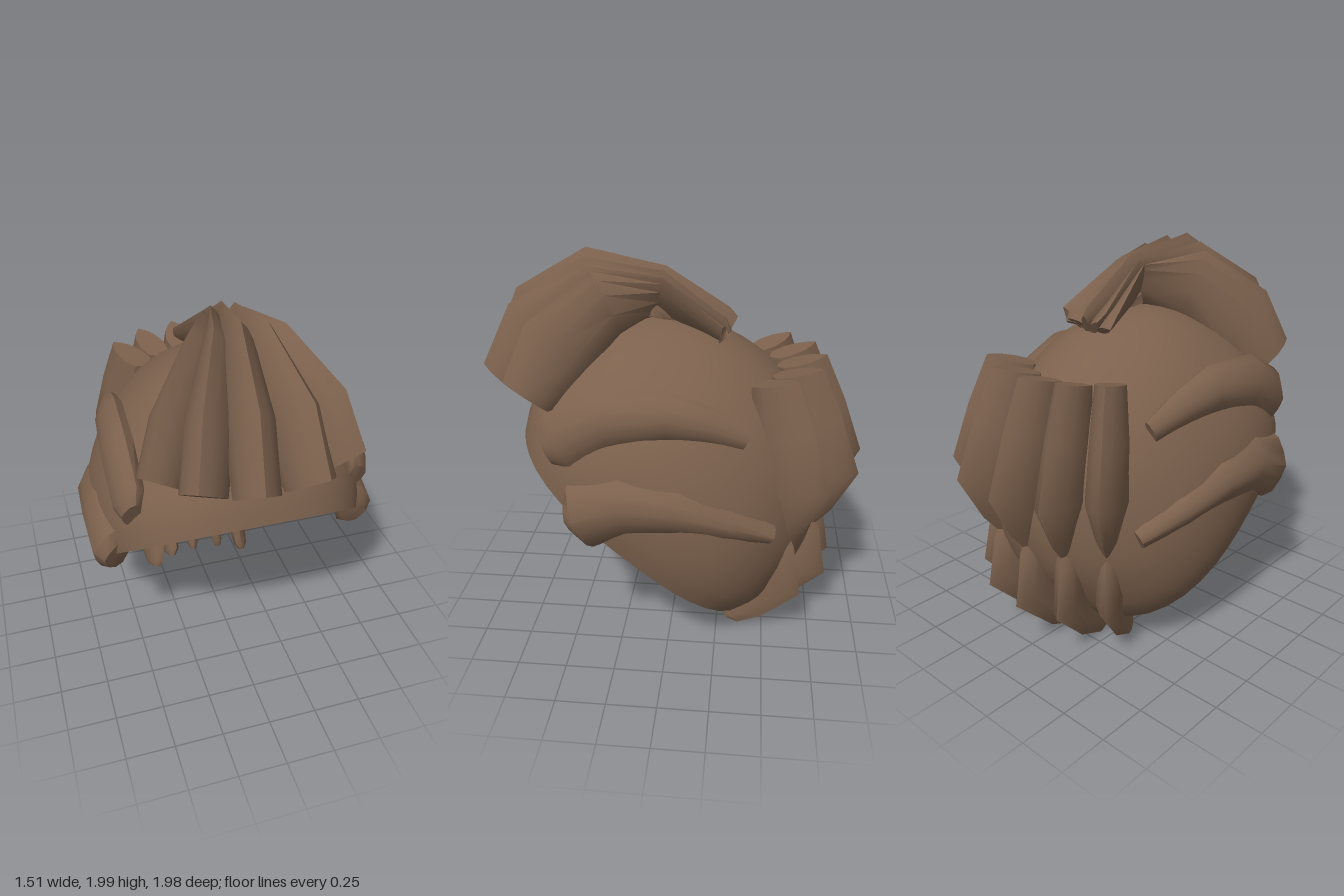
import * as THREE from 'three';
import { toCreasedNormals } from 'three/addons/utils/BufferGeometryUtils.js';

const hair = new THREE.MeshStandardMaterial({ color: 0x7c614d, side: THREE.DoubleSide });
hair.name = 'brown hair';

// Lock section (side, outward): a ridge on the outside, rounded inside
const SECTION = [[1, -0.15], [0.8, 0.4], [0.4, 0.78], [0, 1], [-0.4, 0.78], [-0.8, 0.4],
  [-1, -0.15], [-0.82, -0.7], [0, -1], [0.82, -0.7]];

// Sweeps the section along rows of { p: centre, w: half width, d: half depth }
function lock(name, rows, out) {
  const n = SECTION.length, pos = [], idx = [];
  rows.forEach(({ p, w, d }, i) => {
    const t = rows[Math.min(i + 1, rows.length - 1)].p.clone().sub(rows[Math.max(i - 1, 0)].p).normalize();
    const side = out.clone().cross(t).normalize();
    const up = t.clone().cross(side);
    SECTION.forEach(([a, b]) => {
      const v = p.clone().addScaledVector(side, a * w).addScaledVector(up, b * d);
      pos.push(v.x, v.y, v.z);
    });
    if (i === 0) return;
    for (let j = 0; j < n; j++) {
      const a = (i - 1) * n + j, b = (i - 1) * n + (j + 1) % n;
      idx.push(a, b, b + n, a, b + n, a + n);
    }
  });
  // end faces
  const last = (rows.length - 1) * n;
  for (let j = 1; j < n - 1; j++) idx.push(0, j + 1, j, last, last + j, last + j + 1);
  const g = new THREE.BufferGeometry();
  g.setAttribute('position', new THREE.Float32BufferAttribute(pos, 3));
  g.setIndex(idx);
  const mesh = new THREE.Mesh(toCreasedNormals(g, 0.8), hair);
  mesh.name = name;
  return mesh;
}

const V = (x, y, z) => new THREE.Vector3(x, y, z);

// Hollow tilted dome: inside from the pole to the rim, then outside back up
function scalpCap() {
  const pts = [], steps = 20, rim = -0.447;
  for (let i = 0; i <= steps; i++) {
    const a = Math.PI / 2 + (rim - Math.PI / 2) * i / steps;
    pts.push(new THREE.Vector2(Math.max(0, 0.81 * Math.cos(a)), 0.715 * Math.sin(a) - 0.01));
  }
  for (let i = 0; i <= steps; i++) {
    const a = rim + (Math.PI / 2 - rim) * i / steps;
    pts.push(new THREE.Vector2(Math.max(0, 0.84 * Math.cos(a)), 0.74 * Math.sin(a)));
  }
  const g = new THREE.LatheGeometry(pts, 48);
  // Squarer and wider towards the rim, longer at the nape, narrower at the crown
  const pos = g.attributes.position;
  for (let i = 0; i < pos.count; i++) {
    const x = pos.getX(i), v = pos.getY(i), z = pos.getZ(i), r = Math.hypot(x, z) || 1;
    const power = 2 + 0.6 * THREE.MathUtils.clamp((0.3 - v) / 0.6, 0, 1);
    const square = (Math.abs(x / r) ** power + Math.abs(z / r) ** power || 1) ** (-1 / power);
    const nape = z < 0 && v < 0 ? 1 - 0.25 * v : 1;
    pos.setXYZ(i, x * 0.835 * square * (1 - 0.18 * v), v, z * square * nape);
  }
  g.rotateX(-0.707);
  g.translate(0, 0.88, -0.005);
  const mesh = new THREE.Mesh(toCreasedNormals(g, 0.8), hair);
  mesh.name = 'scalpCap';
  return mesh;
}

export function createModel() {
  const model = new THREE.Group();
  model.name = 'hair';
  model.add(scalpCap());

  // Forelocks: tails behind a knot, fanning out thick over the forehead
  const fringe = new THREE.Group();
  fringe.name = 'fringe';
  [[-41, 0.93, 0.06, -0.08], [-24, 0.99, 0.03, -0.03], [-6, 1.02, 0, 0.03], [14, 1, 0.02, 0.1], [33.5, 0.93, 0.06, 0.16]]
    .forEach(([deg, reach, drop, tail], i) => {
      const a = deg * Math.PI / 180;
      const path = [[0.3, 1.82, 0.19, 0.085], [0.58, 1.62, 0.22, 0.115], [0.76, 1.37, 0.15, 0.11]];
      const knot = 0.03 + (i - 2) * 0.015;
      const rows = [
        { p: V(tail, 1.625 - drop * 0.3, -0.29 + Math.abs(i - 1.5) * 0.015), w: 0.022, d: 0.06 },
        { p: V(tail, 1.65 - drop * 0.3, -0.24), w: 0.034, d: 0.08 },
        { p: V(knot, 1.8 - drop * 0.3, 0.08), w: 0.03, d: 0.13 },
        ...path.map(([r, y, d, w]) => ({
          p: V(0.02 + Math.sin(a) * r * reach, y - drop * (y > 1.5 ? 1 : 0.2), 0.1 + Math.cos(a) * r * reach), w, d,
        })),
      ];
      fringe.add(lock('forelock', rows, V(Math.sin(a), 1, Math.cos(a))));
    });
  model.add(fringe);

  // Two swept locks on each side: [z, y, x, half height, half thickness]
  const upper = [[-0.38, 1.21, 0.485, 0.06, 0.03], [-0.2, 1.285, 0.52, 0.095, 0.055], [0, 1.335, 0.545, 0.125, 0.075],
    [0.3, 1.31, 0.565, 0.15, 0.08], [0.5, 1.19, 0.565, 0.16, 0.075], [0.57, 1.16, 0.565, 0.09, 0.045]];
  const lower = [[-0.52, 0.725, 0.535, 0.05, 0.04], [-0.3, 0.82, 0.61, 0.09, 0.065], [-0.05, 0.905, 0.655, 0.125, 0.085],
    [0.2, 0.93, 0.665, 0.16, 0.09], [0.41, 0.85, 0.645, 0.18, 0.1], [0.45, 0.835, 0.63, 0.11, 0.07]];
  for (const s of [1, -1]) {
    const sideName = s > 0 ? 'left' : 'right';
    for (const [name, rows] of [['UpperSideLock', upper], ['LowerSideLock', lower]]) {
      model.add(lock(sideName + name, rows.map(([z, y, x, w, d]) => ({ p: V(s * x, y, z), w, d })), V(s, 0.15, 0)));
    }
  }

  // Two rows of back locks, fanned around the head: [radius, y, half depth, half width]
  const backUpper = [[0.645, 1.44, 0.135, 0.075], [0.715, 1.18, 0.18, 0.095], [0.8, 0.92, 0.195, 0.105],
    [0.765, 0.73, 0.11, 0.065], [0.71, 0.55, 0.03, 0.018]];
  const backLower = [[0.68, 0.8, 0.02, 0.015], [0.74, 0.57, 0.08, 0.06], [0.74, 0.37, 0.14, 0.07],
    [0.54, 0.16, 0.12, 0.045], [0.42, 0.06, 0.07, 0.032], [0.4, 0.03, 0.03, 0.018]];
  const back = new THREE.Group();
  back.name = 'backHair';
  [[-34, 0.92], [-18, 0.985], [-2, 1], [15, 0.99], [33, 0.93]].forEach(([deg, reach]) => {
    const a = deg * Math.PI / 180;
    const out = V(Math.sin(a), 0, -Math.cos(a));
    const place = ([r, y, d, w]) => ({
      p: V(Math.sin(a) * Math.max(r, 0.56) * reach, y, -Math.cos(a) * r * reach), w, d,
    });
    back.add(lock('upperBackLock', backUpper.map(place), out));
    back.add(lock('lowerBackLock', backLower.map(place), out));
  });
  model.add(back);
  return model;
}
